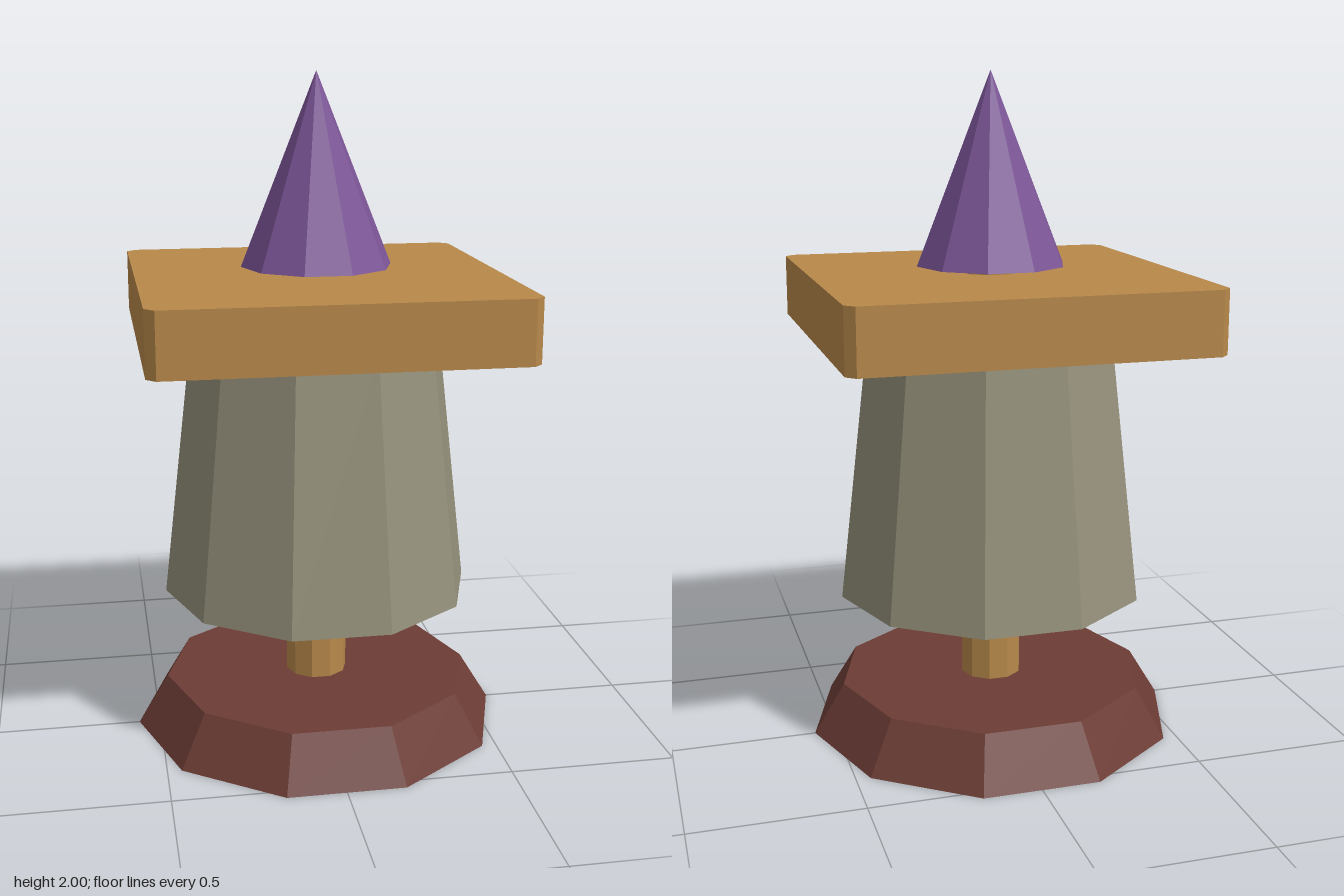
import * as THREE from 'three';

const material = (name, color) => {
  const m = new THREE.MeshStandardMaterial({ color, flatShading: true });
  m.name = name;
  return m;
};

export function createModel() {
  const group = new THREE.Group();
  const wood = material('wood', 0xb8894a);
  const stone = material('stone', 0x96927c);
  const darkRed = material('darkRed', 0x6c3c35);
  const purple = material('purple', 0x7c5597);

  const add = (name, geometry, mat) => {
    const mesh = new THREE.Mesh(geometry, mat);
    mesh.name = name;
    group.add(mesh);
  };

  // Ten-sided tapered solid with corners on the x axis
  const decagon = (name, bottomRadius, topRadius, y0, y1, mat) => {
    const g = new THREE.CylinderGeometry(topRadius, bottomRadius, y1 - y0, 10, 1, false, Math.PI / 2);
    g.translate(0, (y0 + y1) / 2, 0);
    add(name, g, mat);
  };

  decagon('base', 0.565, 0.472, 0, 0.152, darkRed);
  decagon('post', 0.094, 0.094, 0.15, 1.445, wood);
  decagon('body', 0.47, 0.378, 0.438, 1.232, stone);
  decagon('spike', 0.225, 0, 1.438, 2, purple);

  // Square slab with chamfered vertical corners
  const h = 0.537, c = 0.51;
  const outline = new THREE.Shape([
    [c, -h], [h, -c], [h, c], [c, h], [-c, h], [-h, c], [-h, -c], [-c, -h],
  ].map(([x, y]) => new THREE.Vector2(x, y)));
  const slab = new THREE.ExtrudeGeometry(outline, { depth: 0.187, bevelEnabled: false });
  slab.rotateX(-Math.PI / 2).translate(0, 1.23, 0);
  add('slab', slab, wood);

  return group;
}
